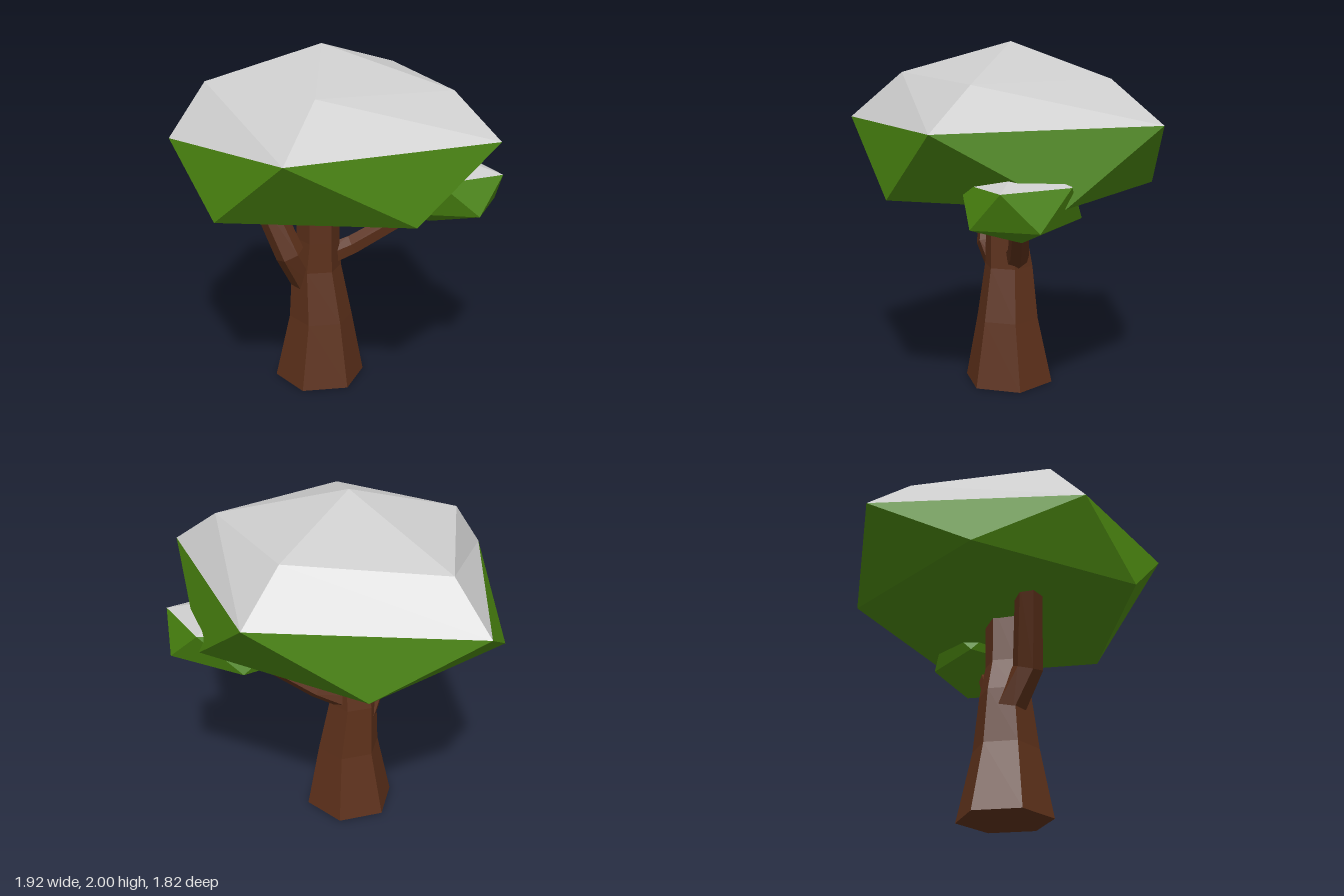
import * as THREE from 'three';

const BARK = 0x5c301a, LEAF = 0x4a8510, CAP = 0xcccccc;

// Flat-shaded skin over rings listed bottom to top; a one-point ring is a tip.
function loft(name, rings, color) {
  const pos = [];
  const tri = (...pts) => pts.forEach((p) => pos.push(...p));
  for (let k = 0; k + 1 < rings.length; k++) {
    const lo = rings[k], hi = rings[k + 1];
    const n = Math.max(lo.length, hi.length);
    for (let i = 0; i < n; i++) {
      const j = (i + 1) % n;
      if (lo.length === 1) tri(lo[0], hi[i], hi[j]);
      else if (hi.length === 1) tri(lo[i], hi[0], lo[j]);
      else {
        tri(lo[i], hi[i], hi[j]);
        tri(lo[i], hi[j], lo[j]);
      }
    }
  }
  const geo = new THREE.BufferGeometry();
  geo.setAttribute('position', new THREE.Float32BufferAttribute(pos, 3));
  geo.computeVertexNormals();
  const mesh = new THREE.Mesh(geo, new THREE.MeshStandardMaterial({ color, flatShading: true }));
  mesh.name = name;
  return mesh;
}

// Six-sided limb through [x, y, z, radius] stations; sections are level or follow the path.
function limb(name, stations, level) {
  const up = new THREE.Vector3(0, 1, 0);
  const centres = stations.map((s) => new THREE.Vector3(s[0], s[1], s[2]));
  const rings = stations.map((s, k) => {
    const dir = centres[Math.min(k + 1, centres.length - 1)].clone()
      .sub(centres[Math.max(k - 1, 0)]).normalize();
    const q = new THREE.Quaternion().setFromUnitVectors(up, level ? up : dir);
    return Array.from({ length: 6 }, (_, i) => {
      const a = (i + 0.5) * Math.PI / 3;
      return new THREE.Vector3(Math.cos(a) * s[3], 0, Math.sin(a) * s[3])
        .applyQuaternion(q).add(centres[k]).toArray();
    });
  });
  const first = [centres[0].toArray()], last = [centres[centres.length - 1].toArray()];
  return loft(name, [first, ...rings, last], BARK);
}

export function createModel() {
  const tree = new THREE.Group();
  tree.name = 'tree';

  // Flared trunk and its two side branches
  tree.add(
    limb('trunk', [
      [-0.095, 0, 0.015, 0.265], [-0.085, 0.39, 0.02, 0.185],
      [-0.11, 0.7, 0.02, 0.145], [-0.095, 0.88, 0.03, 0.125], [-0.095, 1.22, 0.03, 0.125],
    ], true),
    limb('leftBranch', [
      [-0.16, 0.6, 0.05, 0.09], [-0.215, 0.81, 0.165, 0.085], [-0.39, 1.22, 0.2, 0.075],
    ]),
    limb('rightBranch', [
      [-0.08, 0.74, -0.03, 0.07], [0.08, 0.82, -0.09, 0.062], [0.5, 1.1, -0.21, 0.05],
    ]),
  );

  // Main crown: green underside and grey cap share the rim
  const rim = [[0.96, 1.58, 0.12], [0.09, 1.57, 0.91], [-0.73, 1.545, 0.56], [-0.92, 1.5, -0.57], [0.24, 1.58, -0.91]];
  const belly = [[0.63, 1.19, 0.48], [-0.36, 1.19, 0.78], [-0.96, 1.19, 0], [-0.36, 1.19, -0.78], [0.63, 1.19, -0.48]];
  const shoulder = [[0.67, 1.8, 0], [0.12, 1.83, 0.58], [-0.61, 1.82, 0.36], [-0.7, 1.74, -0.4], [0.13, 1.81, -0.61]];
  tree.add(
    loft('crownFoliage', [[[-0.08, 1.13, 0]], belly, rim], LEAF),
    loft('crownCap', [rim, shoulder, [[-0.08, 2, 0]]], CAP),
  );

  // Small crown: squashed icosahedron at the end of the right branch
  const ring = (y, turn) => Array.from({ length: 5 }, (_, i) => {
    const a = (i + turn) * Math.PI * 0.4;
    return [0.5 + 0.41 * Math.cos(a), y, -0.22 + 0.305 * Math.sin(a)];
  });
  const upper = ring(1.3, 0);
  tree.add(
    loft('smallCrownFoliage', [[[0.5, 0.975, -0.22]], ring(1.1, 0.5), upper], LEAF),
    loft('smallCrownCap', [upper, [[0.5, 1.41, -0.22]]], CAP),
  );
  return tree;
}
